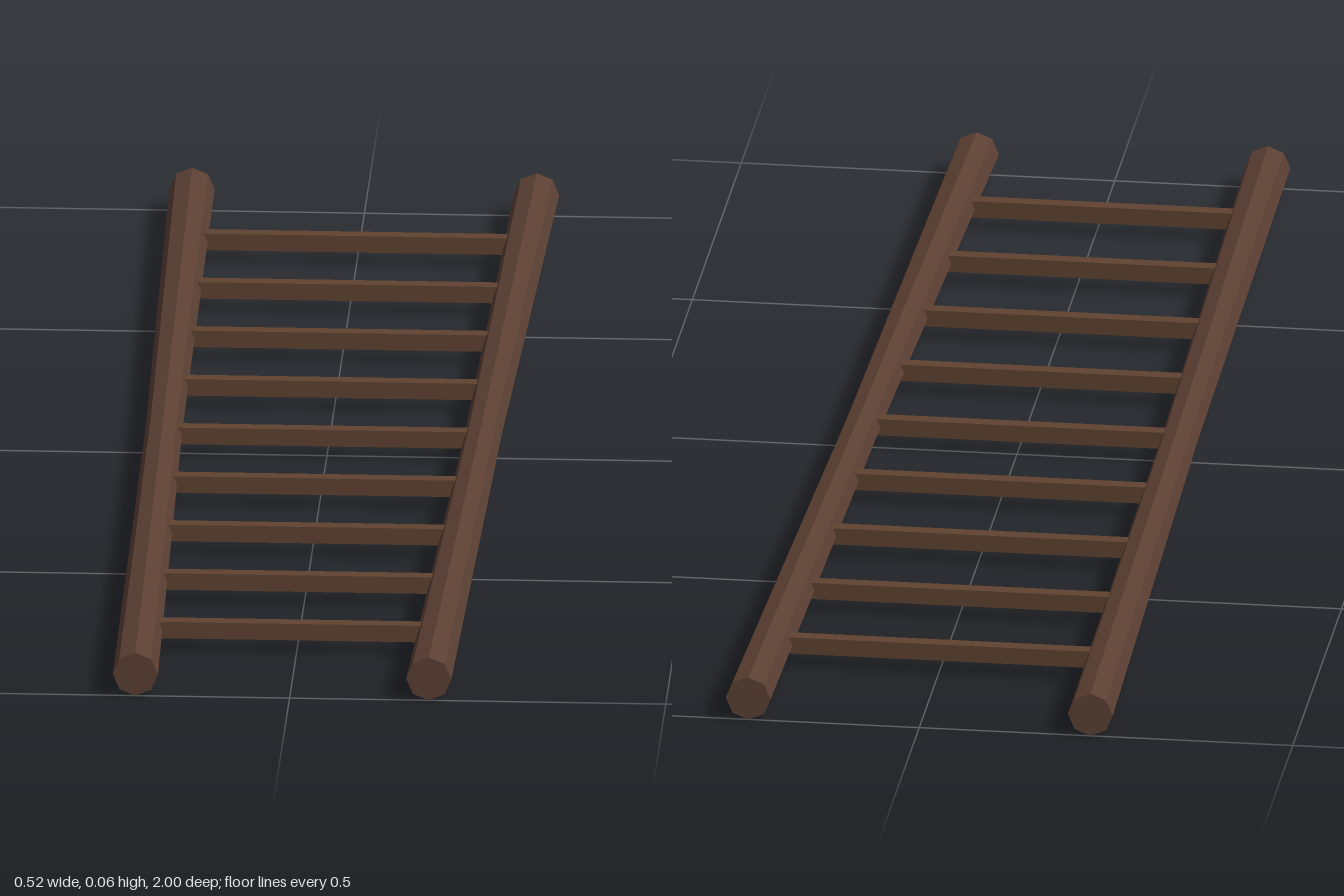
import * as THREE from 'three';

const HEIGHT = 0.031; // centre line of the rails and rungs

export function createModel() {
  const ladder = new THREE.Group();
  ladder.name = 'ladder';
  const railWood = new THREE.MeshStandardMaterial({ color: 0x5c4033, flatShading: true });
  railWood.name = 'dark brown wood';
  const rungWood = new THREE.MeshStandardMaterial({ color: 0x604331, flatShading: true });
  rungWood.name = 'brown wood';

  // Octagonal pole along z, slimmer in the middle, leaning from backX to frontX
  function addRail(name, backX, frontX) {
    const geometry = new THREE.CylinderGeometry(0.03, 0.03, 2, 8, 2).rotateX(Math.PI / 2);
    const p = geometry.attributes.position;
    for (let i = 0; i < p.count; i++) {
      const z = p.getZ(i);
      const pinch = 0.82 + 0.18 * Math.abs(z);
      const centre = THREE.MathUtils.lerp(backX, frontX, (z + 1) / 2);
      p.setXY(i, p.getX(i) * pinch + centre, p.getY(i) * pinch);
    }
    geometry.computeVertexNormals();
    const rail = new THREE.Mesh(geometry, railWood);
    rail.name = name;
    rail.position.y = HEIGHT;
    ladder.add(rail);
  }
  addRail('rightRail', -0.229, -0.205);
  addRail('leftRail', 0.229, 0.185);

  // Nine evenly spaced square rungs, ending inside the rails
  for (let i = -4; i <= 4; i++) {
    const z = 0.007 + i * 0.2;
    const left = 0.207 - 0.022 * z;
    const right = -0.217 + 0.012 * z;
    const rung = new THREE.Mesh(new THREE.BoxGeometry(left - right, 0.023, 0.019), rungWood);
    rung.name = 'rung' + (i + 5);
    rung.position.set((left + right) / 2, HEIGHT, z);
    ladder.add(rung);
  }
  return ladder;
}
